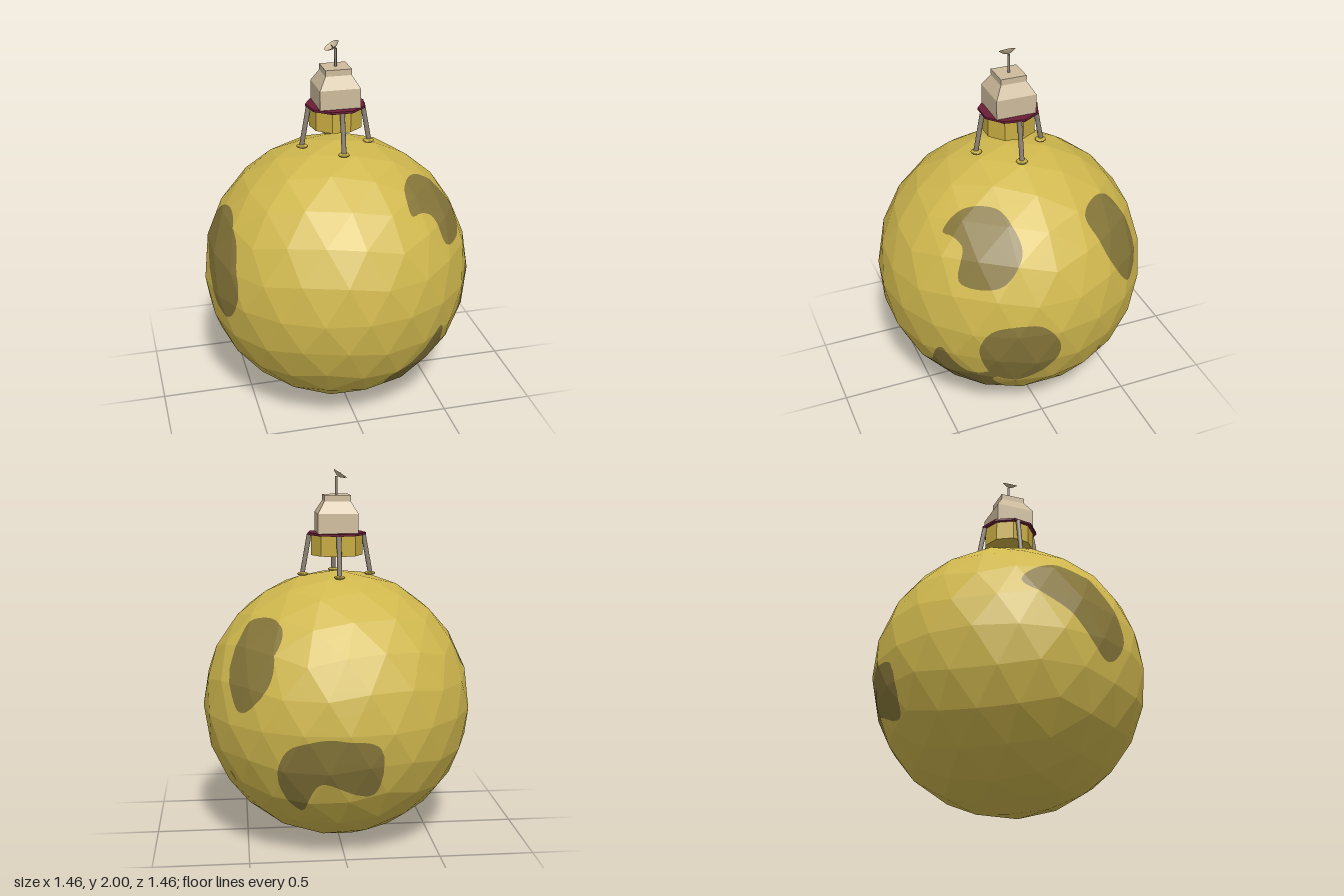
import * as THREE from 'three';

const paint = (name, color, extra = {}) => Object.assign(new THREE.MeshStandardMaterial({ color, ...extra }), { name });
const RADIUS = 0.73;

// A patch is a smooth closed outline (hundredths), laid square to the direction (azimuth, elevation)
function makePatch(az, el, pts) {
  const a = THREE.MathUtils.degToRad(az), e = THREE.MathUtils.degToRad(el);
  const flat = new THREE.Vector3(Math.sin(a), 0, Math.cos(a));
  const knots = pts.map(([x, y]) => new THREE.Vector3(x / 100, y / 100, 0));
  return {
    right: new THREE.Vector3(Math.cos(a), 0, -Math.sin(a)),
    up: flat.clone().multiplyScalar(-Math.sin(e)).setY(Math.cos(e)),
    toward: flat.clone().multiplyScalar(Math.cos(e)).setY(Math.sin(e)),
    outline: new THREE.CatmullRomCurve3(knots, true).getPoints(knots.length * 6).slice(0, -1),
  };
}

const PATCHES = [
  makePatch(35, 25, [[-4, 18], [2, 32], [20, 36], [38, 18], [33, 0], [13, -3], [10, 14], [2, 18]]),
  makePatch(90, 0, [[23, 50], [38, 52], [51, 38], [56, 18], [48, 7], [34, 25], [28, 38]]),
  makePatch(90, 0, [[28, -28], [31, -30], [31, -36], [29, -33]]),
  makePatch(90, 0, [[-40, -10], [-34, 3], [-10, 5], [1, -14], [-15, -35], [-30, -33]]),
  makePatch(0, 0, [[17, -58], [16, -41], [29, -34], [44, -15], [48, -31], [60, -28], [53, -38], [48, -48]]),
  makePatch(140, -29, [[10, 8], [18, 26], [38, 28], [57, 15], [50, -10], [32, 6], [16, -12]]),
  makePatch(-90, 0, [[-19, 27], [2, 42], [25, 33], [38, 4], [26, -11], [4, 11]]),
];

// Signed distance to the nearest patch edge, positive inside
function patchDistance(p) {
  let best = -1;
  for (const { right, up, toward, outline } of PATCHES) {
    if (p.dot(toward) <= 0) continue;
    const x = p.dot(right), y = p.dot(up);
    let inside = false, near = Infinity;
    outline.forEach((a, i) => {
      const b = outline[(i + 1) % outline.length];
      const dx = b.x - a.x, dy = b.y - a.y;
      if ((a.y > y) !== (b.y > y) && x < a.x + dx * (y - a.y) / dy) inside = !inside;
      const t = THREE.MathUtils.clamp(((x - a.x) * dx + (y - a.y) * dy) / (dx * dx + dy * dy), 0, 1);
      near = Math.min(near, Math.hypot(x - a.x - t * dx, y - a.y - t * dy));
    });
    best = Math.max(best, inside ? near : -near);
  }
  return best;
}

// Facets of a sphere made from an icosahedron standing on a corner
function icoFacets() {
  const ring = (y, turn) => [0, 1, 2, 3, 4].map(i => {
    const a = (i * 72 + turn) * Math.PI / 180;
    return new THREE.Vector3(2 * Math.cos(a), y, 2 * Math.sin(a)).normalize();
  });
  const T = new THREE.Vector3(0, 1, 0), B = new THREE.Vector3(0, -1, 0), U = ring(1, 0), L = ring(-1, 36);
  let faces = [];
  for (let i = 0; i < 5; i++) {
    const j = (i + 1) % 5;
    faces.push([T, U[j], U[i]], [U[i], U[j], L[i]], [L[i], U[j], L[j]], [B, L[i], L[j]]);
  }
  const mid = (a, b) => a.clone().add(b).normalize();
  for (let k = 0; k < 2; k++) {
    faces = faces.flatMap(([a, b, c]) => {
      const ab = mid(a, b), bc = mid(b, c), ca = mid(c, a);
      return [[a, ab, ca], [ab, b, bc], [ca, bc, c], [ab, bc, ca]];
    });
  }
  return faces.map(([a, b, c]) => {
    const outward = b.clone().sub(a).cross(c.clone().sub(a)).dot(a) > 0;
    return (outward ? [a, b, c] : [a, c, b]).map(v => v.clone().multiplyScalar(RADIUS));
  });
}

// Split every facet along the patch outlines into ground and patch surfaces
function buildMoon() {
  const ground = [], patch = [], N = 9;
  const fan = (out, poly) => {
    for (let i = 1; i + 1 < poly.length; i++) for (const v of [poly[0], poly[i], poly[i + 1]]) out.push(v.p);
  };
  const clip = (poly, sign) => {
    const out = [];
    poly.forEach((a, i) => {
      const b = poly[(i + 1) % poly.length];
      if (a.f * sign >= 0) out.push(a);
      if (a.f * b.f < 0) out.push({ p: a.p.clone().lerp(b.p, a.f / (a.f - b.f)), f: 0 });
    });
    return out;
  };
  const emit = tri => {
    if (tri.every(v => v.f >= 0)) fan(patch, tri);
    else if (tri.every(v => v.f <= 0)) fan(ground, tri);
    else { fan(patch, clip(tri, 1)); fan(ground, clip(tri, -1)); }
  };
  for (const [a, b, c] of icoFacets()) {
    const f = patchDistance(a.clone().add(b).add(c).divideScalar(3));
    if (Math.abs(f) > 0.16) { emit([a, b, c].map(p => ({ p, f }))); continue; }
    const grid = [];
    for (let i = 0; i <= N; i++) {
      grid.push([]);
      for (let j = 0; i + j <= N; j++) {
        const p = a.clone().multiplyScalar((N - i - j) / N).addScaledVector(b, i / N).addScaledVector(c, j / N);
        grid[i].push({ p, f: patchDistance(p) });
      }
    }
    for (let i = 0; i < N; i++) for (let j = 0; i + j < N; j++) {
      emit([grid[i][j], grid[i + 1][j], grid[i][j + 1]]);
      if (i + j < N - 1) emit([grid[i + 1][j], grid[i + 1][j + 1], grid[i][j + 1]]);
    }
  }
  return [ground, patch].map(points => {
    const g = new THREE.BufferGeometry().setFromPoints(points);
    g.computeVertexNormals();
    return g;
  });
}

export function createModel() {
  const gold = paint('gold ground', 0xd0b84e, { flatShading: true });
  const olive = paint('dark patches', 0x86763a, { flatShading: true });
  const foil = paint('gold foil', 0xc9ad42, { flatShading: true });
  const beige = paint('beige hull', 0xcdbb9c, { flatShading: true, side: THREE.DoubleSide });
  const maroon = paint('maroon plate', 0x6b1e38, { flatShading: true });
  const grey = paint('grey metal', 0x8b8172);

  const model = new THREE.Group();
  const add = (parent, name, geometry, material, x = 0, y = 0, z = 0) => {
    const mesh = new THREE.Mesh(geometry, material);
    mesh.name = name;
    mesh.position.set(x, y, z);
    parent.add(mesh);
  };

  // Faceted moon
  const [groundGeo, patchGeo] = buildMoon();
  add(model, 'moonGround', groundGeo, gold, 0, RADIUS);
  add(model, 'moonPatches', patchGeo, olive, 0, RADIUS);

  // Nine-sided descent stage and plate
  const lander = new THREE.Group();
  lander.name = 'lander';
  model.add(lander);
  const nine = (r, h) => new THREE.CylinderGeometry(r, r, h, 9).rotateY(Math.PI);
  add(lander, 'descentStage', nine(0.141, 0.11), foil, 0, 1.6);
  add(lander, 'plate', nine(0.16, 0.012), maroon, 0, 1.659);

  // Square cabin: walls, sloped shoulders, roof block
  const square = (top, bottom, h) =>
    new THREE.CylinderGeometry(top * Math.SQRT2, bottom * Math.SQRT2, h, 4).rotateY(Math.PI / 4);
  add(lander, 'cabinWalls', square(0.108, 0.108, 0.104), beige, 0, 1.716);
  add(lander, 'cabinShoulders', square(0.07, 0.108, 0.064), beige, 0, 1.8);
  add(lander, 'cabinRoof', square(0.07, 0.07, 0.032), beige, 0, 1.848);

  // Four splayed legs with pads
  const strutPath = new THREE.LineCurve3(new THREE.Vector3(0.146, 1.656, 0), new THREE.Vector3(0.184, 1.445, 0));
  for (let i = 0; i < 4; i++) {
    const leg = new THREE.Group();
    leg.name = 'leg';
    leg.rotation.y = i * Math.PI / 2;
    lander.add(leg);
    add(leg, 'strut', new THREE.TubeGeometry(strutPath, 1, 0.013, 10), grey);
    add(leg, 'footPad', new THREE.SphereGeometry(0.03, 14, 8).scale(1, 0.35, 1), foil, 0.182, 1.442);
  }

  // Mast and tilted dish
  add(lander, 'mast', new THREE.CylinderGeometry(0.007, 0.007, 0.1, 10), grey, 0, 1.91);
  const dish = new THREE.Group();
  dish.name = 'dish';
  dish.position.set(-0.022, 1.976, 0);
  dish.rotation.z = 0.57;
  lander.add(dish);
  const bowl = [[0, -0.021], [0.015, -0.018], [0.03, -0.01], [0.043, 0]].map(p => new THREE.Vector2(...p));
  add(dish, 'bowl', new THREE.LatheGeometry(bowl, 20), beige);
  add(dish, 'feed', new THREE.CylinderGeometry(0.002, 0.003, 0.024, 6), grey, 0, -0.009);
  return model;
}
